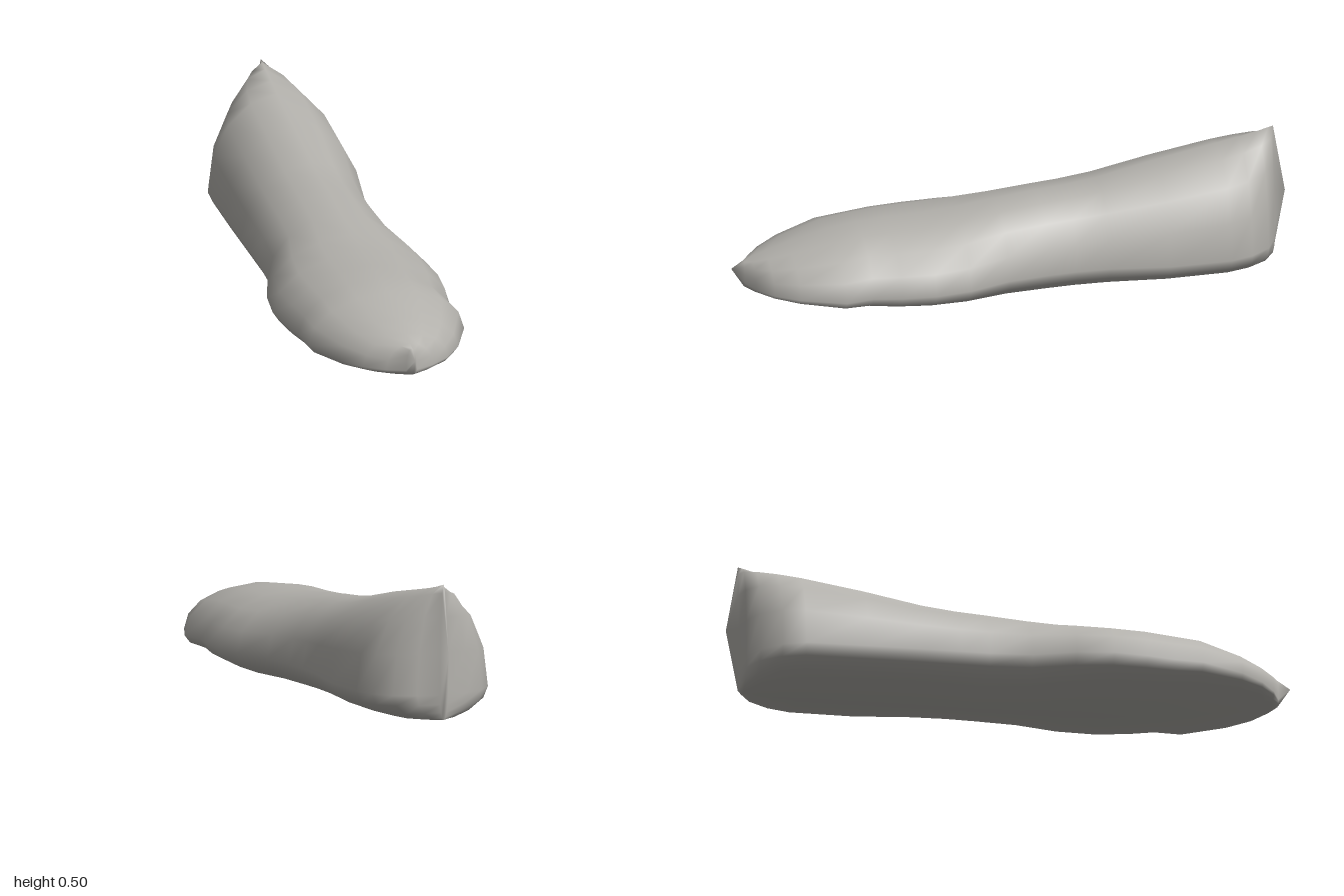
import * as THREE from 'three';

// Cross-sections front to back: z, left edge (+x), right edge (-x), top, bottom
const SECTIONS = [
  [0.955, 0.035, -0.005, 0.19, 0.09],
  [0.93, 0.10, -0.07, 0.20, 0.084],
  [0.88, 0.17, -0.14, 0.217, 0.074],
  [0.8, 0.23, -0.205, 0.242, 0.06],
  [0.65, 0.295, -0.275, 0.28, 0.038],
  [0.55, 0.28, -0.282, 0.293, 0.027],
  [0.45, 0.302, -0.30, 0.30, 0.017],
  [0.33, 0.312, -0.312, 0.302, 0.009],
  [0.2, 0.295, -0.295, 0.312, 0.004],
  [0.05, 0.245, -0.25, 0.33, 0.002],
  [-0.1, 0.228, -0.24, 0.346, 0.001],
  [-0.2, 0.222, -0.24, 0.354, 0.001],
  [-0.32, 0.227, -0.24, 0.37, 0.001],
  [-0.53, 0.26, -0.24, 0.415, 0.001],
  [-0.75, 0.26, -0.237, 0.455, 0.002],
  [-0.83, 0.235, -0.21, 0.47, 0.005],
  [-0.9, 0.185, -0.155, 0.485, 0.011],
  [-0.94, 0.11, -0.08, 0.496, 0.017],
  [-0.957, 0.03, 0.0, 0.5, 0.02],
];
const SIDES = 16, MID_X = 0.016, MID_Y = 0.108;

// Loft of half-ellipse sections (tall above the widest line, shallow below), closed by a point at each end
function loftGeometry() {
  const pos = [], index = [];
  for (const [z, left, right, top, bottom] of SECTIONS) {
    for (let i = 0; i < SIDES; i++) {
      const a = (i / SIDES) * Math.PI * 2, s = Math.sin(a), c = Math.cos(a);
      const x = MID_X + s * (s > 0 ? left - MID_X : MID_X - right);
      const y = MID_Y + c * (c > 0 ? top - MID_Y : MID_Y - bottom);
      pos.push(x, y, z);
    }
  }
  const rows = SECTIONS.length, toe = rows * SIDES, heel = toe + 1;
  pos.push(MID_X, 0.16, 1, MID_X, 0.25, -1);
  for (let i = 0; i < SIDES; i++) {
    const n = (i + 1) % SIDES;
    for (let r = 0; r < rows - 1; r++) {
      const a = r * SIDES, b = a + SIDES;
      index.push(a + i, a + n, b + i, a + n, b + n, b + i);
    }
    const last = (rows - 1) * SIDES;
    index.push(toe, n, i, heel, last + i, last + n);
  }
  const geo = new THREE.BufferGeometry();
  geo.setAttribute('position', new THREE.Float32BufferAttribute(pos, 3));
  geo.setIndex(index);
  geo.computeVertexNormals();
  return geo;
}

export function createModel() {
  const group = new THREE.Group();
  group.name = 'footForm';
  const grey = new THREE.MeshStandardMaterial({ color: 0xb3b1ac });
  grey.name = 'warm grey';
  const body = new THREE.Mesh(loftGeometry(), grey);
  body.name = 'footBody';
  group.add(body);
  return group;
}
